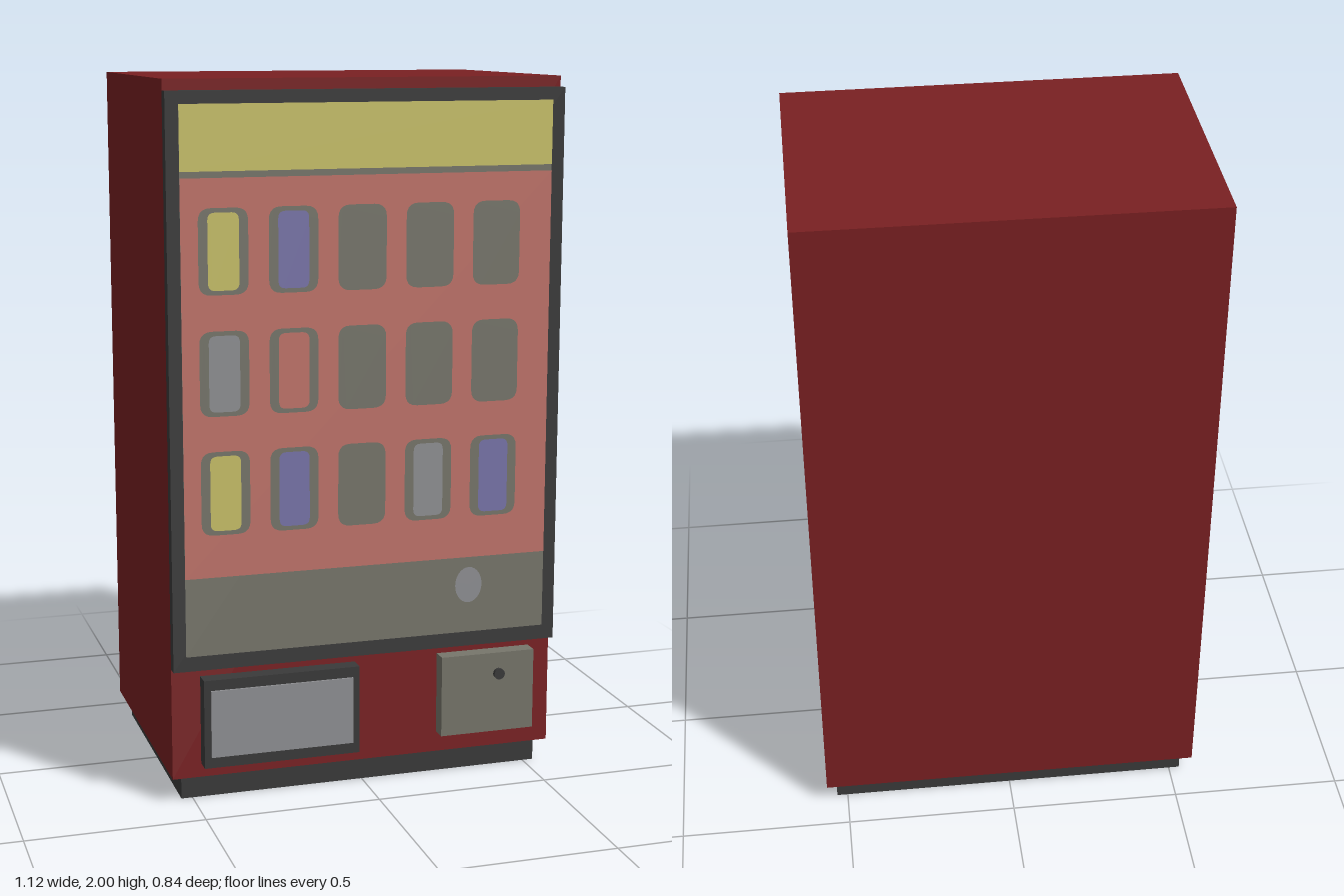
import * as THREE from 'three';

const mat = (name, color) => {
  const m = new THREE.MeshStandardMaterial({ color });
  m.name = name;
  return m;
};

export function createModel() {
  const red = mat('cabinet red', 0x7a2022);
  const dark = mat('dark trim', 0x3a3a3a);
  const grey = mat('warm grey', 0x77766b);
  const pink = mat('display pink', 0xc1746a);
  const yellow = mat('yellow', 0xc9c168);
  const purple = mat('purple', 0x7975aa);
  const silver = mat('silver', 0x909194);

  const model = new THREE.Group();
  model.name = 'vendingMachine';

  const add = (name, geometry, material, x = 0, y = 0, z = 0) => {
    const mesh = new THREE.Mesh(geometry, material);
    mesh.name = name;
    mesh.position.set(x, y, z);
    model.add(mesh);
    return mesh;
  };
  // Box given by its limits on each axis
  const box = (name, material, x0, x1, y0, y1, z0, z1) =>
    add(name, new THREE.BoxGeometry(x1 - x0, y1 - y0, z1 - z0), material,
      (x0 + x1) / 2, (y0 + y1) / 2, (z0 + z1) / 2);

  // Flat rounded rectangle centred on the origin
  const roundedPlate = (w, h, r) => {
    const s = new THREE.Shape();
    const a = w / 2, b = h / 2;
    s.moveTo(-a + r, -b);
    s.lineTo(a - r, -b);
    s.quadraticCurveTo(a, -b, a, -b + r);
    s.lineTo(a, b - r);
    s.quadraticCurveTo(a, b, a - r, b);
    s.lineTo(-a + r, b);
    s.quadraticCurveTo(-a, b, -a, b - r);
    s.lineTo(-a, -b + r);
    s.quadraticCurveTo(-a, -b, -a + r, -b);
    return new THREE.ShapeGeometry(s, 5);
  };

  // Cabinet, plinth and door
  box('cabinet', red, -0.562, 0.562, 0.07, 2, -0.418, 0.362);
  box('plinth', dark, -0.532, 0.532, 0, 0.07, -0.384, 0.334);
  box('door', dark, -0.562, 0.562, 0.392, 1.97, 0.362, 0.395);

  // Display panel in thin layers on the door
  const layer = (n) => 0.395 + n * 0.0012;
  const panel = (name, material, y0, y1, n) =>
    add(name, new THREE.PlaneGeometry(1.052, y1 - y0), material, 0, (y0 + y1) / 2, layer(n));
  panel('displayBacking', grey, 0.434, 1.936, 1);
  panel('displayPanel', pink, 0.655, 1.743, 2);
  panel('headerPanel', yellow, 1.76, 1.936, 2);

  // Product windows, with a product in some of them
  const products = [
    [yellow, purple, null, null, null],
    [silver, pink, null, null, null],
    [yellow, purple, null, silver, purple],
  ];
  const slot = roundedPlate(0.137, 0.232, 0.035);
  const can = roundedPlate(0.086, 0.208, 0.02);
  products.forEach((row, j) => row.forEach((material, i) => {
    const x = -0.41 + i * 0.1938, y = 1.548 - j * 0.329;
    add('productWindow', slot, grey, x, y, layer(3));
    if (material) add('product', can, material, x, y, layer(4));
  }));

  // Oval button
  const oval = add('button', new THREE.CircleGeometry(1, 28), silver, 0.297, 0.574, layer(3));
  oval.scale.set(0.04, 0.052, 1);

  // Delivery hatch
  box('hatchFrame', dark, -0.48, -0.03, 0.11, 0.365, 0.362, 0.408);
  box('hatchFlap', silver, -0.461, -0.05, 0.142, 0.335, 0.408, 0.414);

  // Coin box with lock
  box('coinBox', grey, 0.217, 0.498, 0.13, 0.366, 0.362, 0.407);
  add('coinBoxLock', new THREE.CylinderGeometry(0.016, 0.016, 0.014, 20).rotateX(Math.PI / 2),
    dark, 0.39, 0.304, 0.411);

  return model;
}
